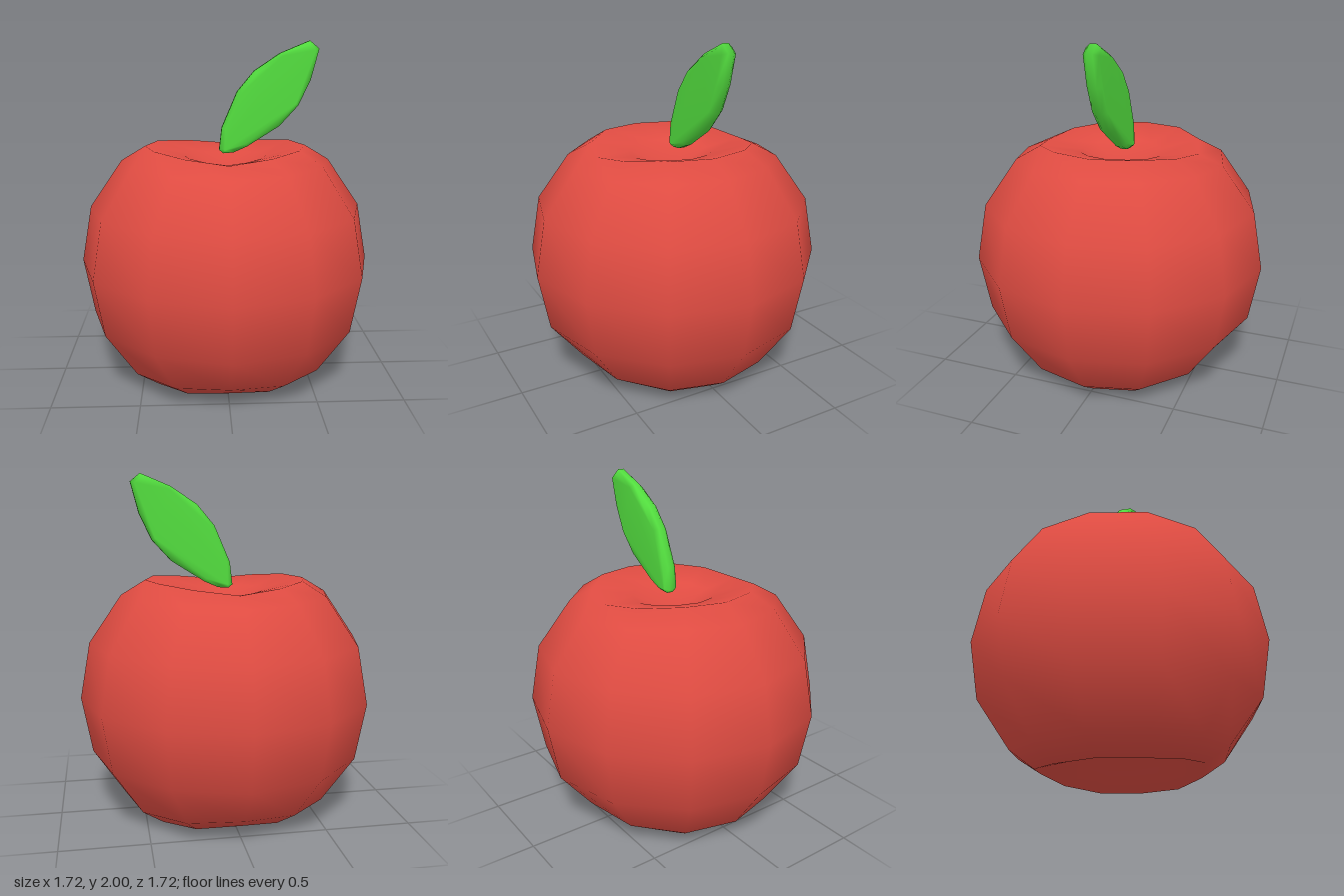
import * as THREE from 'three';
import { mergeVertices } from 'three/addons/utils/BufferGeometryUtils.js';

// Weld the seams and give the whole surface smooth normals
function smooth(geometry) {
  geometry.deleteAttribute('uv');
  geometry.deleteAttribute('normal');
  const welded = mergeVertices(geometry, 1e-4);
  welded.computeVertexNormals();
  return welded;
}

// Twelve-sided fruit with a dimple at each end
function createFruit() {
  // radius, height, change of height towards the front and back
  const rings = [
    [0, 0.19, 0], [0.24, 0.07, 0.03], [0.47, 0, 0.05], [0.61, 0.1, 0.04], [0.8, 0.38, 0],
    [0.86, 0.71, 0],
    [0.8, 1.04, 0], [0.61, 1.316, -0.02], [0.47, 1.4, -0.045], [0.24, 1.34, -0.02], [0, 1.22, 0],
  ];
  const geometry = new THREE.LatheGeometry(rings.map(([r, y]) => new THREE.Vector2(r, y)), 12);

  // Bend the rims so they are flatter at the front and back than at the sides
  const p = geometry.attributes.position;
  for (let i = 0; i < p.count; i++) {
    const [r, y, bend] = rings[i % rings.length];
    if (r === 0) p.setXYZ(i, 0, y, 0);
    else p.setY(i, y + bend * (1 - Math.min(1, Math.abs(p.getX(i)) / (0.87 * r))));
  }
  const mesh = new THREE.Mesh(smooth(geometry), new THREE.MeshStandardMaterial({ color: 0xe04c42 }));
  mesh.name = 'fruit';
  return mesh;
}

// Thick leaf with bevelled edges
function createLeaf() {
  const outline = [
    [-0.01, 1.35], [0.05, 1.355], [0.13, 1.39], [0.32, 1.51], [0.43, 1.63], [0.5, 1.78],
    [0.545, 1.955], [0.49, 2.0], [0.32, 1.93], [0.17, 1.83], [0.07, 1.71], [-0.02, 1.5], [-0.035, 1.37],
  ];
  const shape = new THREE.Shape(outline.map(([x, y]) => new THREE.Vector2(x, y)));
  const geometry = new THREE.ExtrudeGeometry(shape, {
    depth: 0.036, bevelEnabled: true, bevelThickness: 0.025, bevelSize: 0.02, bevelOffset: -0.02, bevelSegments: 1,
  });
  geometry.translate(0, 0, -0.054);
  const mesh = new THREE.Mesh(smooth(geometry), new THREE.MeshStandardMaterial({ color: 0x52dc3e }));
  mesh.name = 'leaf';
  return mesh;
}

export function createModel() {
  const group = new THREE.Group();
  group.name = 'apple';
  group.add(createFruit(), createLeaf());
  return group;
}
